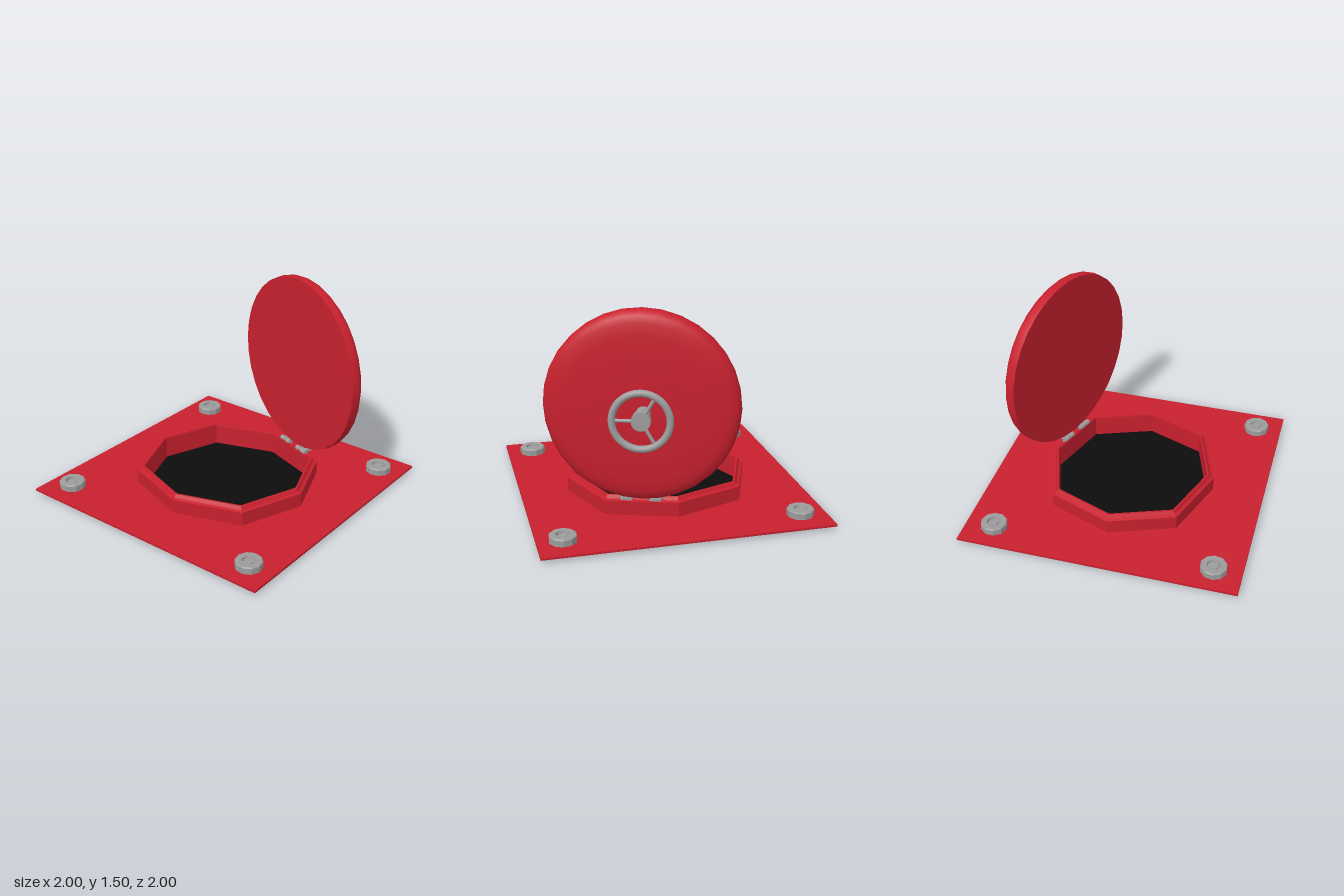
import * as THREE from 'three';
import { toCreasedNormals } from 'three/addons/utils/BufferGeometryUtils.js';

const red = new THREE.MeshStandardMaterial({ color: 0xc8202e });
red.name = 'red paint';
const steel = new THREE.MeshStandardMaterial({ color: 0x9c9c9c });
steel.name = 'grey steel';
const black = new THREE.MeshStandardMaterial({ color: 0x0c0c0c, side: THREE.DoubleSide });
black.name = 'black void';

function add(parent, name, geometry, material, x = 0, y = 0, z = 0) {
  const mesh = new THREE.Mesh(geometry, material);
  mesh.name = name;
  mesh.position.set(x, y, z);
  parent.add(mesh);
  return mesh;
}

// Turned profile of [radius, height] pairs, with hard edges kept sharp
function turned(profile, sides, crease = 0.5) {
  const pts = profile.map(([r, h]) => new THREE.Vector2(r, h));
  return toCreasedNormals(new THREE.LatheGeometry(pts, sides), crease);
}

// Slightly squashed octagon, corners on the axes and diagonals
function octagon(r) {
  const quarter = [[0.947, 0], [0.697, 0.735], [0, 1], [-0.697, 0.735]];
  return [...quarter, ...quarter.map(([x, y]) => [-x, -y])]
    .map(([x, y]) => new THREE.Vector2(x * r, y * r));
}

function buildBase(parent) {
  // Square plate with an octagonal opening
  const shape = new THREE.Shape([[-1, -1], [1, -1], [1, 1], [-1, 1]].map(([x, y]) => new THREE.Vector2(x, y)));
  shape.holes.push(new THREE.Path(octagon(0.605).reverse()));
  const plate = new THREE.ExtrudeGeometry(shape, { depth: 0.015, bevelEnabled: false });
  add(parent, 'basePlate', plate.rotateX(-Math.PI / 2), red, 0, 0.02, 0);

  // Dark sheet under the opening
  add(parent, 'darkFloor', new THREE.PlaneGeometry(1.87, 1.87).rotateX(-Math.PI / 2), black, 0.01, 0, 0.01);

  // Eight-sided collar with a raised inner lip
  const collar = turned([[0.66, 0.022], [0.66, 0.138], [0.637, 0.145], [0.622, 0.168],
    [0.608, 0.168], [0.605, 0.155], [0.605, 0.002]], 8, 0.2);
  const p = collar.attributes.position;
  for (let i = 0; i < p.count; i++) {
    const x = p.getX(i), z = p.getZ(i);
    const k = Math.abs(x) > 0.01 && Math.abs(z) > 0.01 ? 1.04 : 1;
    p.setXYZ(i, x * 0.947 * k, p.getY(i), z * k);
  }
  add(parent, 'collar', toCreasedNormals(collar, 0.2), red);

  // Corner nuts, each turned a little differently
  const nut = turned([[0.095, 0], [0.095, 0.043], [0.088, 0.05], [0.05, 0.05], [0.045, 0.03],
    [0.032, 0.03], [0.03, 0.04], [0, 0.04]], 10, 0.2);
  [[-0.8, -0.82, 0.1], [0.79, -0.815, 0.3], [-0.81, 0.81, 0.5], [0.79, 0.825, 0.2]]
    .forEach(([x, z, turn]) => {
      add(parent, 'cornerNut', nut, steel, x, 0.035, z).rotation.y = turn;
    });
}

function buildWheel(parent) {
  const wheel = new THREE.Group();
  wheel.name = 'handWheel';
  wheel.position.set(0.02, -0.02, 0);
  parent.add(wheel);
  const axial = (r, len) => new THREE.CylinderGeometry(r, r, len, 20).rotateX(Math.PI / 2);
  add(wheel, 'stem', axial(0.049, 0.17), steel, 0, 0, 0.195);
  add(wheel, 'hub', axial(0.064, 0.05), steel, 0, 0, 0.275);
  add(wheel, 'rim', new THREE.TorusGeometry(0.189, 0.024, 12, 36), steel, 0, 0, 0.287);
  for (let i = 0; i < 3; i++) {
    const spoke = new THREE.CylinderGeometry(0.012, 0.012, 0.19, 10)
      .translate(0, 0.095, 0).rotateZ(Math.PI / 2 + i * Math.PI * 2 / 3);
    add(wheel, 'spoke', spoke, steel, 0, 0, 0.283);
  }
}

// Open lid standing upright; its outer face points along local +z
function buildLid(parent) {
  const lid = new THREE.Group();
  lid.name = 'lid';
  lid.position.set(0.53, 0.837, 0.23);
  lid.rotation.y = 1.23;
  parent.add(lid);
  const disc = turned([[0, 0], [0.655, 0], [0.658, 0.05], [0.65, 0.075], [0.625, 0.098],
    [0.58, 0.113], [0.5, 0.123], [0.3, 0.13], [0, 0.132]], 32, 0.7);
  add(lid, 'lidDisc', disc.rotateX(Math.PI / 2), red);
  buildWheel(lid);

  // Two hinges, each a pin with a pair of knuckles and a leaf
  for (const x of [-0.108, 0.088]) {
    const pin = new THREE.CylinderGeometry(0.013, 0.013, 0.11, 12).rotateZ(Math.PI / 2);
    add(lid, 'hingePin', pin, steel, x, -0.667, -0.012);
    for (const side of [-1, 1]) {
      const knuckle = new THREE.CylinderGeometry(0.02, 0.02, 0.045, 12).rotateZ(Math.PI / 2);
      add(lid, 'hingeKnuckle', knuckle, steel, x + side * 0.031, -0.667, -0.012);
    }
    add(lid, 'hingeLeaf', new THREE.BoxGeometry(0.08, 0.02, 0.07), steel, x, -0.663, 0.025);
  }
}

export function createModel() {
  const model = new THREE.Group();
  model.name = 'hatch';
  buildBase(model);
  buildLid(model);
  return model;
}
